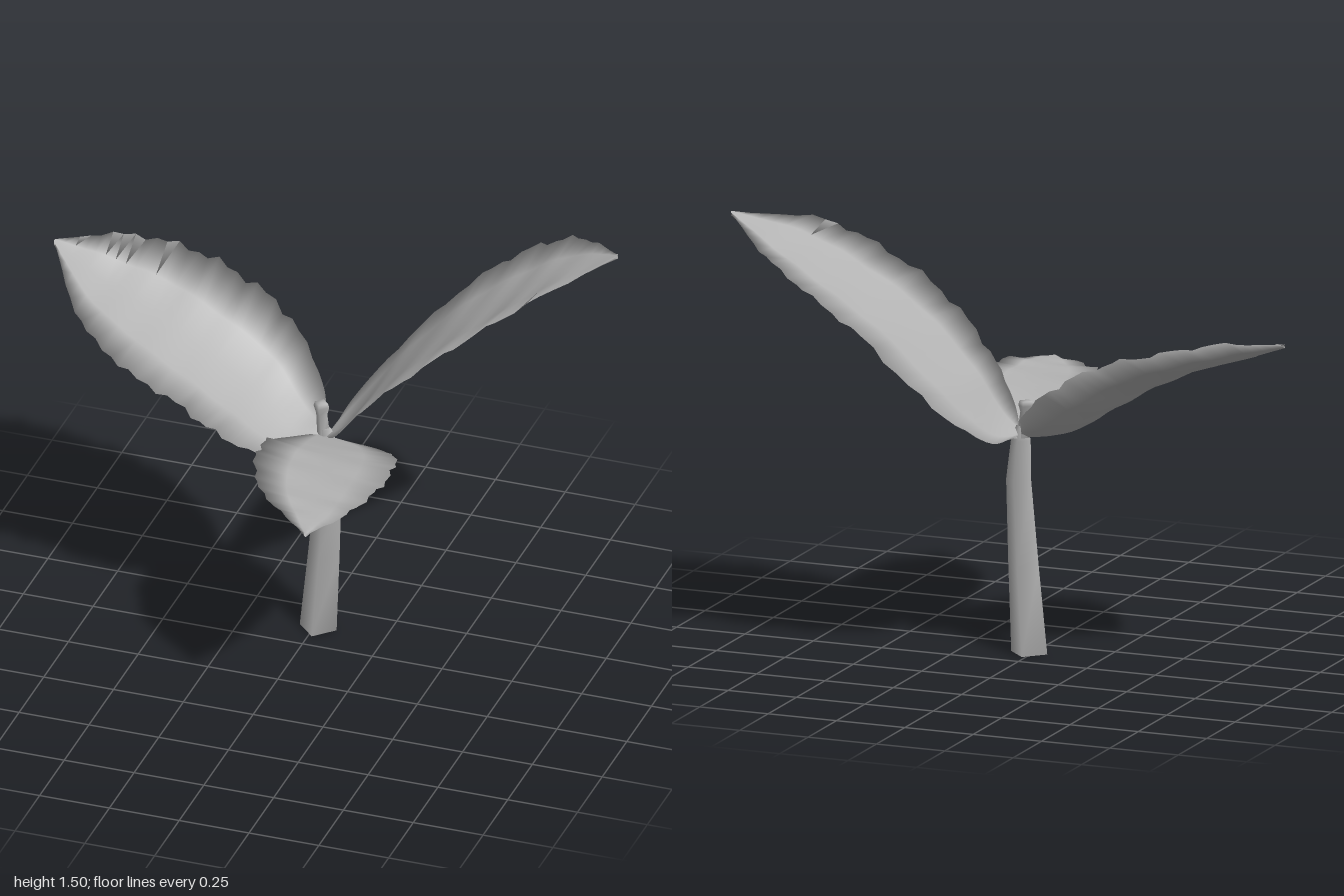
import * as THREE from 'three';
import { mergeVertices } from 'three/addons/utils/BufferGeometryUtils.js';

const grey = new THREE.MeshStandardMaterial({ color: 0xb4b4b4, side: THREE.DoubleSide });
grey.name = 'leaf grey';

// Curve through one column of the leaf stations
const rail = (rows, i) =>
  new THREE.CatmullRomCurve3(rows.map(r => new THREE.Vector3(...r[i])), false, 'centripetal');

// Leaf blade: a thin lens-shaped shell; each station is [one edge, midrib, other edge]
function leaf(name, rows, teeth) {
  const along = teeth * 2, across = 4, ring = across * 2, span = rows.length - 1;
  const [edgeA, rib, edgeB] = [0, 1, 2].map(i => rail(rows, i));
  const pos = [], index = [];
  for (let i = 0; i <= along; i++) {
    const t = i / along;
    const a = edgeA.getPoint(t), m = rib.getPoint(t), b = edgeB.getPoint(t);
    // Serrated margin, fading out at the base and tip
    const fade = THREE.MathUtils.smoothstep(t * span, 1, 2) * (1 - THREE.MathUtils.smoothstep(t, 0.85, 1));
    const tooth = (i % 2 - 0.5) * (0.05 + 0.03 * Math.sin(i * 1.7)) * fade;
    for (let j = 0; j < ring; j++) {
      // Upper face from edge A to edge B, then back along the lower face
      const s = (j <= across ? j : ring - j) / across * 2 - 1, k = Math.abs(s);
      const edge = s < 0 ? a : b;
      // Parabola through both edges and the midrib
      const p = m.clone()
        .addScaledVector(a, s * (s - 1) / 2)
        .addScaledVector(b, s * (s + 1) / 2)
        .addScaledVector(m, -s * s);
      p.addScaledVector(edge.clone().sub(m), tooth * k ** 6);
      // Uneven side-vein ripples and blade thickness
      p.y += 0.006 * fade * k * Math.sin(i * 1.3 + s * 2) + (j <= across ? 1 : -1) * 0.007 * (1 - k * k);
      pos.push(p.x, p.y, p.z);
      if (i < along) {
        const q = i * ring + j, q1 = i * ring + (j + 1) % ring, r = q + ring, r1 = q1 + ring;
        // Matching diagonals on both faces keep the rim shading even
        if (j < across) index.push(q, q1, r, q1, r1, r);
        else index.push(q, q1, r1, q, r1, r);
      }
    }
  }
  const g = new THREE.BufferGeometry();
  g.setAttribute('position', new THREE.Float32BufferAttribute(pos, 3));
  g.setIndex(index);
  g.computeVertexNormals();
  const mesh = new THREE.Mesh(g, grey);
  mesh.name = name;
  return mesh;
}

// Tapered four-sided stalk with soft shading through rings of [x, y, z, radius], bottom to top
function stalk(name, rings) {
  const n = rings.length - 1;
  const base = new THREE.CylinderGeometry(1, 1, 1, 4, n);
  const p = base.attributes.position;
  for (let i = 0; i < p.count; i++) {
    const [x, y, z, r] = rings[Math.round((p.getY(i) + 0.5) * n)];
    p.setXYZ(i, x + p.getX(i) * r, y, z + p.getZ(i) * r);
  }
  base.deleteAttribute('normal');
  base.deleteAttribute('uv');
  const g = mergeVertices(base, 1e-4);
  g.computeVertexNormals();
  const mesh = new THREE.Mesh(g, grey);
  mesh.name = name;
  return mesh;
}

export function createModel() {
  const model = new THREE.Group();
  model.name = 'threeLeafSprout';

  model.add(stalk('stem', [
    [0.013, 0.003, -0.123, 0.066], [0.034, 0.3, -0.122, 0.056], [0.053, 0.6, -0.12, 0.046],
    [0.045, 0.74, -0.12, 0.036], [0.04, 0.79, -0.12, 0.022],
  ]));
  model.add(stalk('bud', [
    [0.035, 0.75, -0.12, 0.024], [0.025, 0.84, -0.125, 0.02],
    [0.022, 0.865, -0.13, 0.028], [0.022, 0.88, -0.13, 0.024],
  ]));

  model.add(leaf('tallLeaf', [
    [[0.05, 0.76, -0.16], [0.04, 0.755, -0.12], [0.06, 0.77, -0.09]],
    [[0.06, 0.785, -0.37], [0.1, 0.8, -0.2], [0.12, 0.84, 0]],
    [[0.2, 0.95, -0.56], [0.22, 0.95, -0.25], [0.24, 1, 0.06]],
    [[0.42, 1.18, -0.63], [0.42, 1.15, -0.28], [0.42, 1.18, 0.08]],
    [[0.61, 1.32, -0.65], [0.61, 1.29, -0.32], [0.61, 1.33, 0.01]],
    [[0.79, 1.42, -0.59], [0.78, 1.4, -0.36], [0.78, 1.435, -0.1]],
    [[0.985, 1.5, -0.4], [0.995, 1.5, -0.385], [0.985, 1.5, -0.37]],
  ], 17));

  model.add(leaf('sideLeaf', [
    [[0.01, 0.76, -0.1], [0.03, 0.76, -0.13], [0.03, 0.8, -0.16]],
    [[-0.1, 0.77, 0.08], [-0.07, 0.77, -0.1], [-0.02, 0.86, -0.27]],
    [[-0.24, 0.86, 0.16], [-0.22, 0.86, -0.15], [-0.2, 1.01, -0.43]],
    [[-0.4, 0.95, 0.15], [-0.4, 0.97, -0.16], [-0.4, 1.12, -0.47]],
    [[-0.6, 1.04, 0.13], [-0.6, 1.06, -0.2], [-0.6, 1.18, -0.48]],
    [[-0.8, 1.12, 0], [-0.8, 1.13, -0.24], [-0.8, 1.22, -0.42]],
    [[-0.99, 1.21, -0.295], [-1, 1.21, -0.31], [-0.99, 1.215, -0.325]],
  ], 17));

  model.add(leaf('frontLeaf', [
    [[0.1, 0.76, -0.11], [0.04, 0.755, -0.12], [0, 0.76, -0.12]],
    [[0.28, 0.81, -0.01], [0.1, 0.785, -0.03], [-0.06, 0.8, 0]],
    [[0.37, 0.85, 0.1], [0.14, 0.82, 0.1], [-0.09, 0.84, 0.1]],
    [[0.39, 0.86, 0.26], [0.16, 0.84, 0.25], [-0.08, 0.86, 0.25]],
    [[0.37, 0.86, 0.4], [0.19, 0.845, 0.42], [0, 0.86, 0.44]],
    [[0.33, 0.855, 0.52], [0.22, 0.845, 0.53], [0.1, 0.85, 0.54]],
    [[0.25, 0.837, 0.64], [0.24, 0.835, 0.65], [0.23, 0.837, 0.64]],
  ], 14));

  return model;
}
